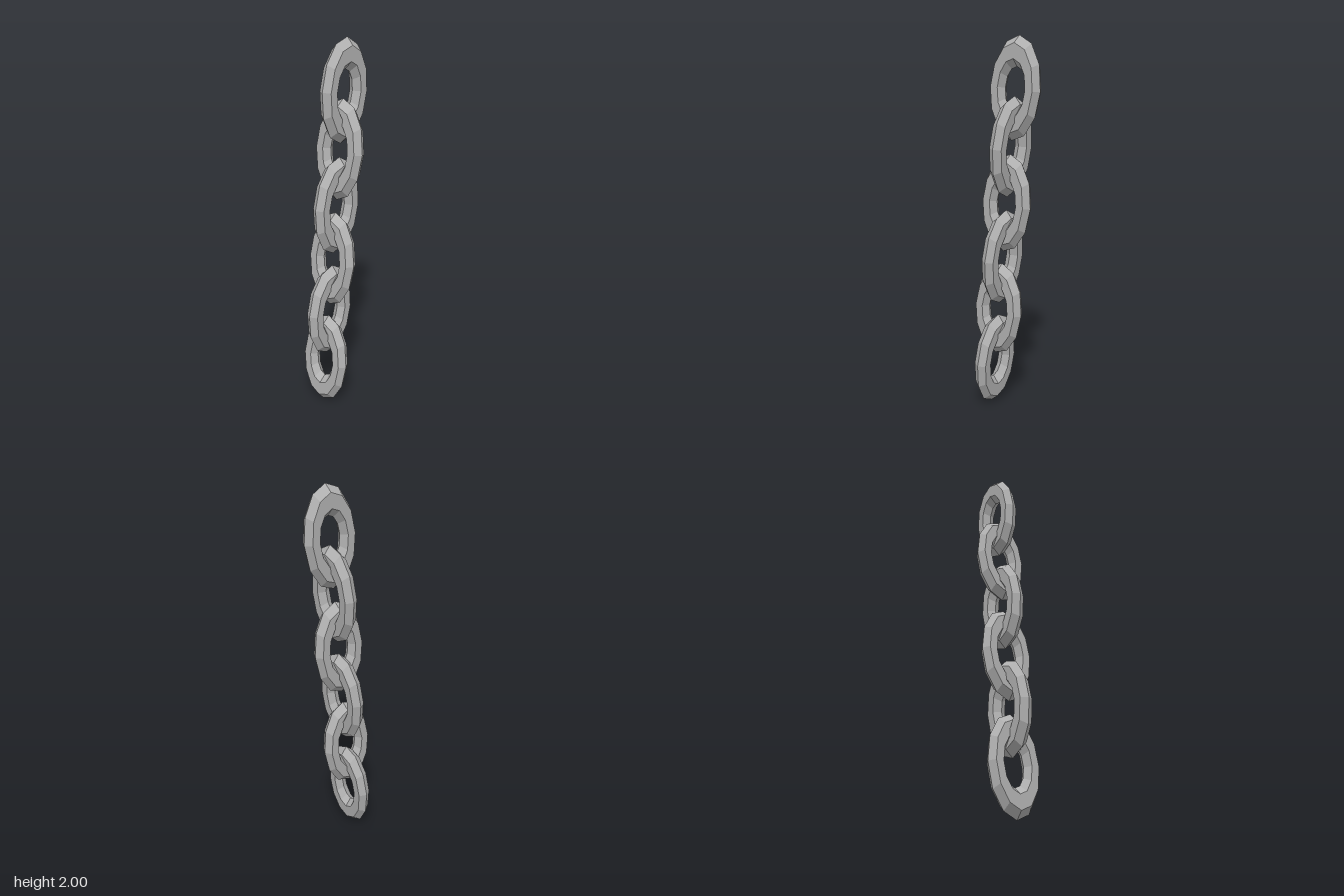
import * as THREE from 'three';

const LINKS = 6;
const STEP_X = 0.0277, STEP_Y = 0.2956; // offset from one link to the next
const TILT = Math.atan2(STEP_X, STEP_Y);

// One faceted oval ring with a hexagonal section, alternately facing z and x
function linkGeometry(sideways) {
  const g = new THREE.TorusGeometry(0.107, 0.044, 6, 12);
  g.scale(sideways ? 1 : 1.02, 1.735, 1);
  if (sideways) g.rotateY(Math.PI / 2);
  const flat = g.toNonIndexed();
  flat.computeVertexNormals(); // hard facets
  return flat;
}

export function createModel() {
  const steel = new THREE.MeshStandardMaterial({ color: 0xb0b0b0 });
  steel.name = 'greySteel';

  const chain = new THREE.Group();
  chain.name = 'chain';
  const shapes = [linkGeometry(false), linkGeometry(true)];

  // Links run down a straight, slightly leaning line
  for (let i = 0; i < LINKS; i++) {
    const link = new THREE.Mesh(shapes[i % 2], steel);
    link.name = `link${i + 1}`;
    link.position.set(0.055 - i * STEP_X, 1.739 - i * STEP_Y, 0);
    link.rotation.z = -TILT;
    chain.add(link);
  }
  return chain;
}
